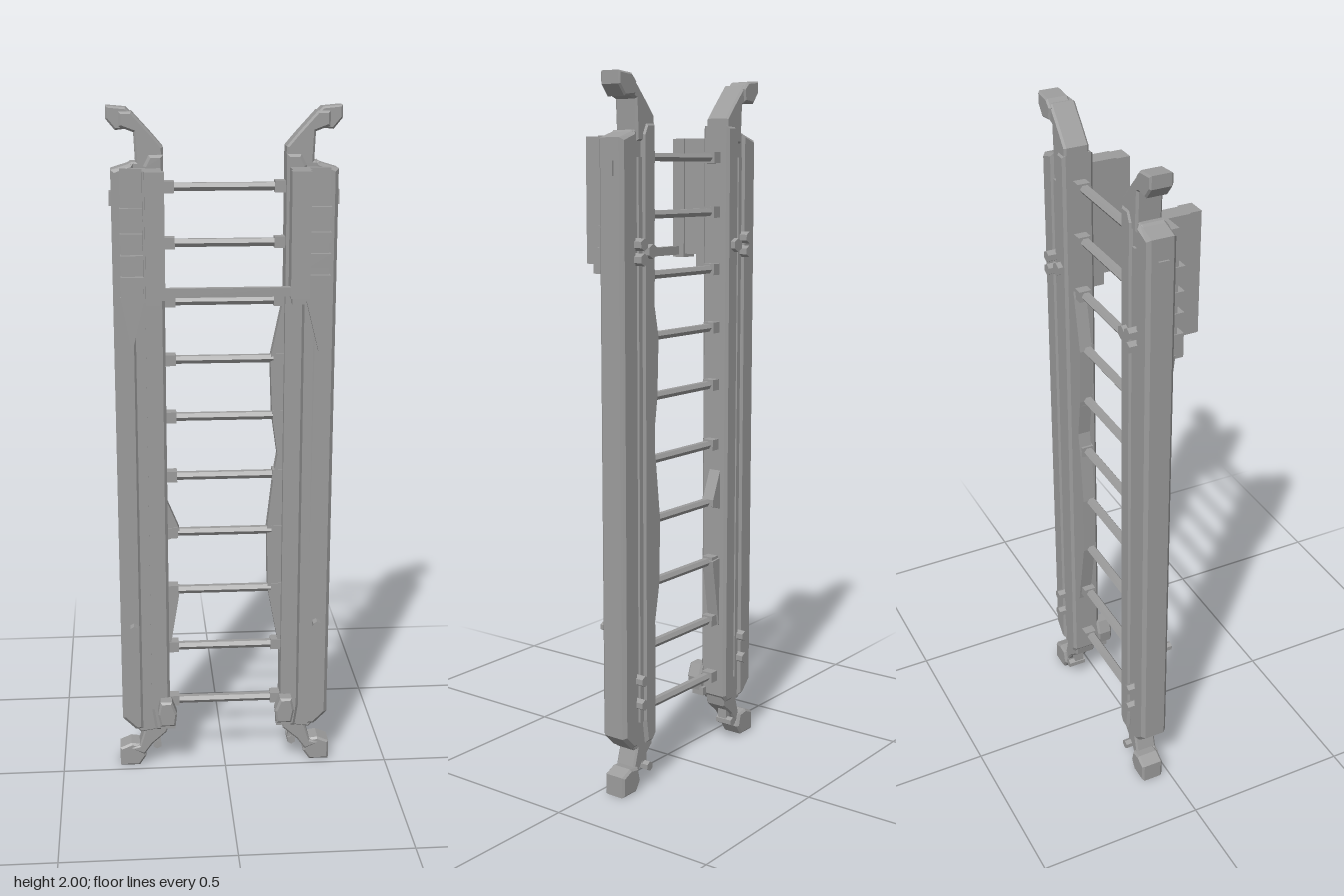
import * as THREE from 'three';

export function createModel() {
  const model = new THREE.Group();
  model.name = 'ladder';
  const metal = new THREE.MeshStandardMaterial({ color: 0x9c9c9c, flatShading: true });
  metal.name = 'grey metal';

  const add = (name, geometry, parent = model) => {
    const mesh = new THREE.Mesh(geometry, metal);
    mesh.name = name;
    parent.add(mesh);
    return mesh;
  };
  // Box given by its limits on each axis; s mirrors it in x
  const box = (name, s, x0, x1, y0, y1, z0, z1, parent) =>
    add(name, new THREE.BoxGeometry(x1 - x0, y1 - y0, z1 - z0), parent)
      .position.set(s * (x0 + x1) / 2, (y0 + y1) / 2, (z0 + z1) / 2);
  // Front outline extruded between two depths, with chamfered edges
  const plate = (name, s, points, z0, z1, bevel, parent) => {
    const shape = new THREE.Shape(points.map(([x, y]) => new THREE.Vector2(s * x, y)));
    const geometry = new THREE.ExtrudeGeometry(shape, {
      depth: z1 - z0 - 2 * bevel, bevelEnabled: bevel > 0, bevelThickness: bevel,
      bevelSize: bevel, bevelOffset: -bevel, bevelSegments: 1,
    });
    geometry.translate(0, 0, z0 + bevel);
    add(name, geometry, parent);
  };
  // Hexagonal bolt pointing along z
  const bolt = (name, x, y, z0, z1, r, parent) => {
    const geometry = new THREE.CylinderGeometry(r, r, z1 - z0, 6).rotateX(Math.PI / 2);
    add(name, geometry, parent).position.set(x, y, (z0 + z1) / 2);
  };

  // Rungs
  for (const y of [0.215, 0.395, 0.58, 0.765, 0.94, 1.12, 1.29, 1.46, 1.625, 1.78]) {
    const rung = add('rung', new THREE.CylinderGeometry(0.015, 0.015, 0.38, 6).rotateZ(Math.PI / 2));
    rung.position.set(0, y, -0.041);
    rung.scale.y = 0.85;
    for (const s of [-1, 1]) box('rungSocket', s, 0.14, 0.18, y - 0.016, y + 0.016, -0.062, -0.026);
  }

  for (const s of [-1, 1]) {
    const side = new THREE.Group();
    side.name = s > 0 ? 'leftSide' : 'rightSide';
    model.add(side);

    // Rail: a core web between an inner post and an outer beam
    plate('railCore', s, [[0.19, 0.13], [0.26, 0.12], [0.3, 0.17], [0.3, 1.82], [0.26, 1.85], [0.19, 1.85]],
      -0.08, -0.012, 0.004, side);
    plate('innerPost', s, [[0.17, 0.15], [0.185, 0.13], [0.215, 0.13], [0.225, 0.2], [0.225, 1.84], [0.21, 1.87], [0.17, 1.87]],
      -0.09, 0, 0.008, side);
    plate('outerBeam', s, [[0.25, 0.13], [0.275, 0.13], [0.315, 0.17], [0.315, 1.83], [0.25, 1.85]],
      -0.088, -0.005, 0.01, side);
    box('backRib', s, 0.228, 0.243, 0.2, 1.78, -0.087, -0.07, side);

    // Hooked top end and bent foot
    plate('topArm', s, [[0.17, 1.82], [0.17, 1.89], [0.2, 1.925], [0.255, 1.985], [0.29, 1.985], [0.29, 1.945],
      [0.25, 1.93], [0.245, 1.82]], -0.085, -0.012, 0.006, side);
    plate('topPad', s, [[0.25, 1.975], [0.27, 1.995], [0.325, 2], [0.325, 1.965], [0.3, 1.935], [0.255, 1.94]],
      -0.09, -0.025, 0.005, side);
    plate('footArm', s, [[0.17, 0.17], [0.18, 0.115], [0.225, 0.075], [0.25, 0.04], [0.29, 0.06], [0.265, 0.07],
      [0.25, 0.12], [0.25, 0.17]], -0.08, -0.015, 0.005, side);
    plate('footPad', s, [[0.245, 0.03], [0.265, 0], [0.325, 0], [0.325, 0.06], [0.29, 0.075], [0.255, 0.07]],
      -0.09, -0.022, 0.006, side);

    // Gusset web along the inner edge
    if (s > 0) {
      plate('gusset', s, [[0.18, 1.5], [0.165, 1.45], [0.132, 1.29], [0.138, 1.12], [0.155, 1.0], [0.145, 0.94],
        [0.126, 0.77], [0.13, 0.58], [0.165, 0.39], [0.18, 0.3]], -0.068, -0.03, 0, side);
    } else {
      plate('upperGusset', s, [[0.18, 0.88], [0.17, 0.86], [0.135, 0.775], [0.135, 0.755], [0.18, 0.74]],
        -0.068, -0.03, 0, side);
      plate('lowerGusset', s, [[0.18, 0.59], [0.135, 0.585], [0.14, 0.55], [0.168, 0.38], [0.18, 0.37]],
        -0.068, -0.03, 0, side);
    }

    // Guard bracket with its mounting plate and clips
    box('guardPanel', s, 0.172, 0.225, 1.49, 1.835, 0.07, 0.11, side);
    box('guardWeb', s, 0.178, 0.23, 1.5, 1.835, -0.01, 0.075, side);
    box('guardFoot', s, 0.185, 0.225, 1.46, 1.51, -0.01, 0.035, side);
    box('mountPlate', s, 0.22, 0.29, 1.53, 1.835, -0.01, 0.012, side);
    for (const [y, h] of [[1.715, 0.03], [1.645, 0.03], [1.58, 0.04], [1.505, 0.07]])
      box('clip', s, 0.225, 0.293, y - h / 2, y + h / 2, 0, 0.03, side);
    plate('spike', s, [[0.225, 1.48], [0.295, 1.48], [0.265, 1.32]], -0.008, 0.006, 0, side);
    box('sideCatch', s, 0.305, 0.321, 1.73, 1.77, -0.06, -0.03, side);

    // Latch at the lowest rung
    plate('latch', s, [[0.155, 0.16], [0.2, 0.16], [0.208, 0.2], [0.2, 0.24], [0.165, 0.24], [0.15, 0.2]],
      -0.01, 0.038, 0.006, side);
    box('latchLug', s, 0.155, 0.2, 0.145, 0.17, -0.02, 0.02, side);

    // Bolts on the back and front
    bolt('frontBolt', s * 0.275, 0.475, -0.01, 0.022, 0.013, side);
    for (const y of [1.55, 1.51]) bolt('backBolt', s * 0.25, y, -0.112, -0.08, 0.017, side);
    bolt('backBolt', s * 0.203, 1.53, -0.105, -0.08, 0.02, side);
    for (const y of [0.33, 0.26]) bolt('backBolt', s * 0.25, y, -0.11, -0.08, 0.016, side);
    bolt('footBolt', s * 0.21, 0.06, -0.095, -0.04, 0.014, side);
    box('footBoltStem', s, 0.2, 0.22, 0.06, 0.1, -0.075, -0.045, side);
  }

  // Front guard bar between the brackets
  box('guardBar', 1, -0.18, 0.18, 1.497, 1.522, 0.088, 0.108);
  return model;
}
